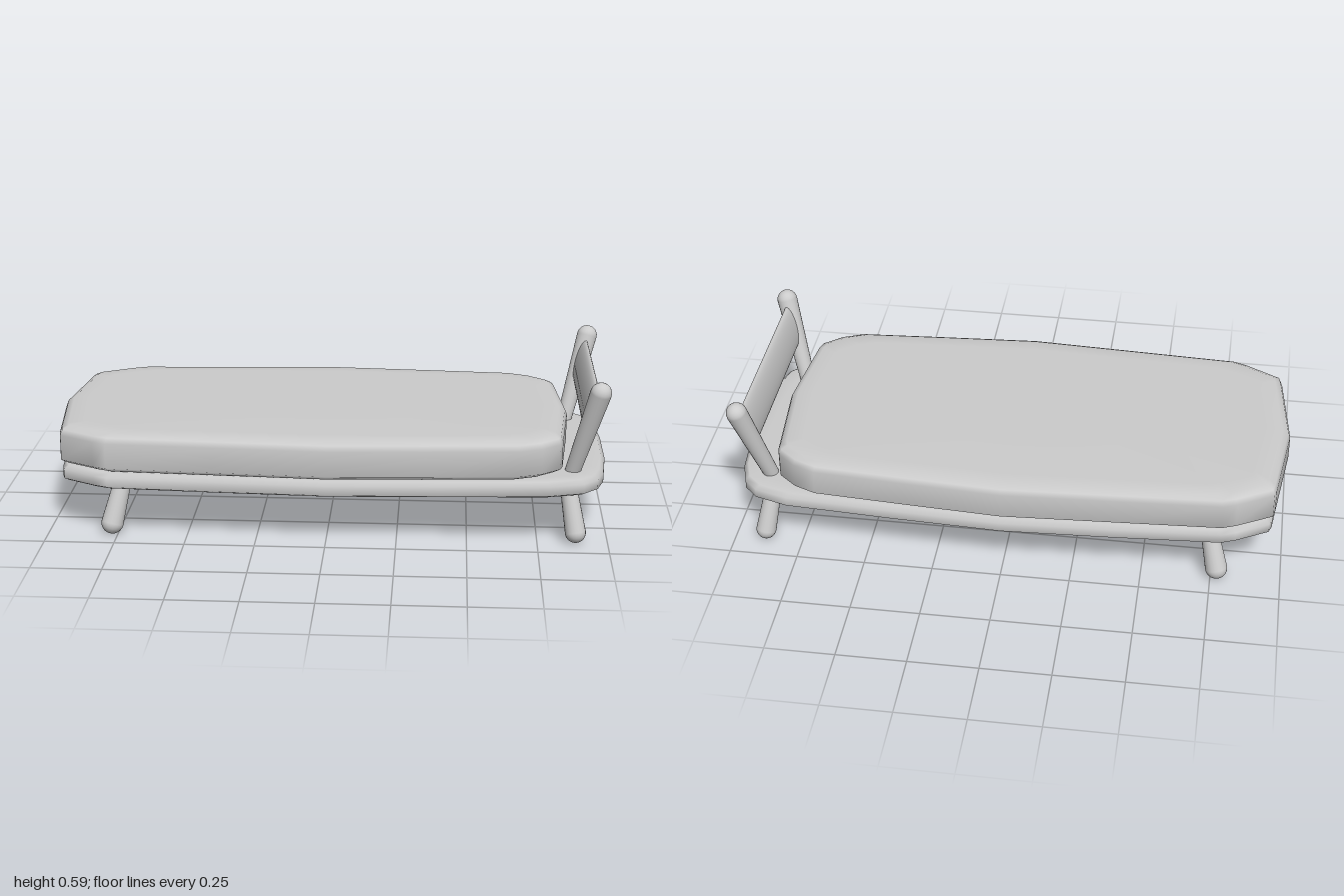
import * as THREE from 'three';

const material = new THREE.MeshStandardMaterial({ color: 0xcccccc });

// Closed slab lofted from an outline (z >= 0 half, head to foot, mirrored) through [height, inset] rings
function slab(name, half, rings) {
  const outline = [
    ...half,
    ...half.slice(1, -1).reverse().map(([x, z]) => [x, -z]),
  ];
  const xs = half.map(p => p[0]);
  const centre = (Math.max(...xs) + Math.min(...xs)) / 2;
  const hx = (Math.max(...xs) - Math.min(...xs)) / 2;
  const hz = Math.max(...half.map(p => p[1]));
  const n = outline.length;
  const positions = [];
  const index = [];
  for (const [y, inset] of rings) {
    for (const [x, z] of outline) {
      positions.push(centre + (x - centre) * (1 - inset / hx), y, z * (1 - inset / hz));
    }
  }
  const bottom = n * rings.length;
  positions.push(centre, rings[0][0], 0, centre, rings[rings.length - 1][0], 0);
  for (let j = 0; j < n; j++) {
    const k = (j + 1) % n;
    for (let i = 0; i < rings.length - 1; i++) {
      const a = i * n + j, b = i * n + k;
      index.push(a, a + n, b, b, a + n, b + n);
    }
    const top = (rings.length - 1) * n;
    index.push(bottom, j, k, top + j, bottom + 1, top + k);
  }
  const geometry = new THREE.BufferGeometry();
  geometry.setAttribute('position', new THREE.Float32BufferAttribute(positions, 3));
  geometry.setIndex(index);
  geometry.computeVertexNormals();
  const mesh = new THREE.Mesh(geometry, material);
  mesh.name = name;
  return mesh;
}

// Tapered rod with round ends between two end centres
function rod(name, from, to, r0, r1) {
  const a = new THREE.Vector3(...from), b = new THREE.Vector3(...to);
  const dir = b.clone().sub(a);
  const length = dir.length();
  const profile = [];
  for (let i = 0; i <= 6; i++) {
    const t = (i / 6) * Math.PI / 2;
    profile.push(new THREE.Vector2(r0 * Math.sin(t), -r0 * Math.cos(t)));
  }
  for (let i = 0; i <= 6; i++) {
    const t = (i / 6) * Math.PI / 2;
    profile.push(new THREE.Vector2(r1 * Math.cos(t), length + r1 * Math.sin(t)));
  }
  const mesh = new THREE.Mesh(new THREE.LatheGeometry(profile, 20), material);
  mesh.position.copy(a);
  mesh.quaternion.setFromUnitVectors(new THREE.Vector3(0, 1, 0), dir.normalize());
  mesh.name = name;
  return mesh;
}

export function createModel() {
  const model = new THREE.Group();
  model.name = 'daybed';

  // Thin platform, rounder at the head end
  model.add(slab('platform', [
    [1, 0], [1, 0.12], [0.985, 0.28], [0.96, 0.36], [0.91, 0.41], [0.79, 0.445], [0.4, 0.468],
    [0, 0.486], [-0.4, 0.468], [-0.78, 0.445], [-0.83, 0.425], [-0.945, 0.36], [-0.955, 0.33], [-0.99, 0],
  ], [[0.18, 0.06], [0.18, 0.012], [0.188, 0], [0.222, 0], [0.235, 0.015], [0.235, 0.06]]));

  // Thick mattress with softened edges
  model.add(slab('mattress', [
    [0.865, 0], [0.835, 0.33], [0.825, 0.36], [0.76, 0.415], [0.68, 0.448], [0.35, 0.47],
    [0, 0.491], [-0.4, 0.47], [-0.78, 0.45], [-0.83, 0.43], [-0.955, 0.36], [-0.962, 0.33], [-1, 0],
  ], [[0.24, 0.09], [0.241, 0.025], [0.258, 0], [0.35, 0], [0.37, 0.008], [0.382, 0.03], [0.385, 0.09]]));

  // Splayed legs and headboard posts, one of each per side
  for (const s of [1, -1]) {
    const side = s > 0 ? 'front' : 'back';
    model.add(rod(side + 'HeadLeg', [0.885, 0.038, 0.402 * s], [0.858, 0.19, 0.36 * s], 0.037, 0.03));
    model.add(rod(side + 'FootLeg', [-0.77, 0.038, 0.402 * s], [-0.733, 0.19, 0.36 * s], 0.04, 0.031));
    const shift = -0.01;
    model.add(rod(side + 'HeadboardPost', [0.875, 0.235, 0.303 * s + shift], [0.956, 0.547, 0.386 * s + shift], 0.028, 0.038));
  }

  // Lens-shaped headboard slat leaning with the posts
  const slat = new THREE.Mesh(new THREE.CylinderGeometry(1, 1, 0.74, 28), material);
  slat.geometry.rotateX(Math.PI / 2);
  slat.geometry.scale(0.02, 0.079, 1);
  slat.geometry.computeVertexNormals();
  slat.position.set(0.932, 0.459, -0.01);
  slat.rotation.z = -0.25;
  slat.name = 'headboardSlat';
  model.add(slat);

  return model;
}
